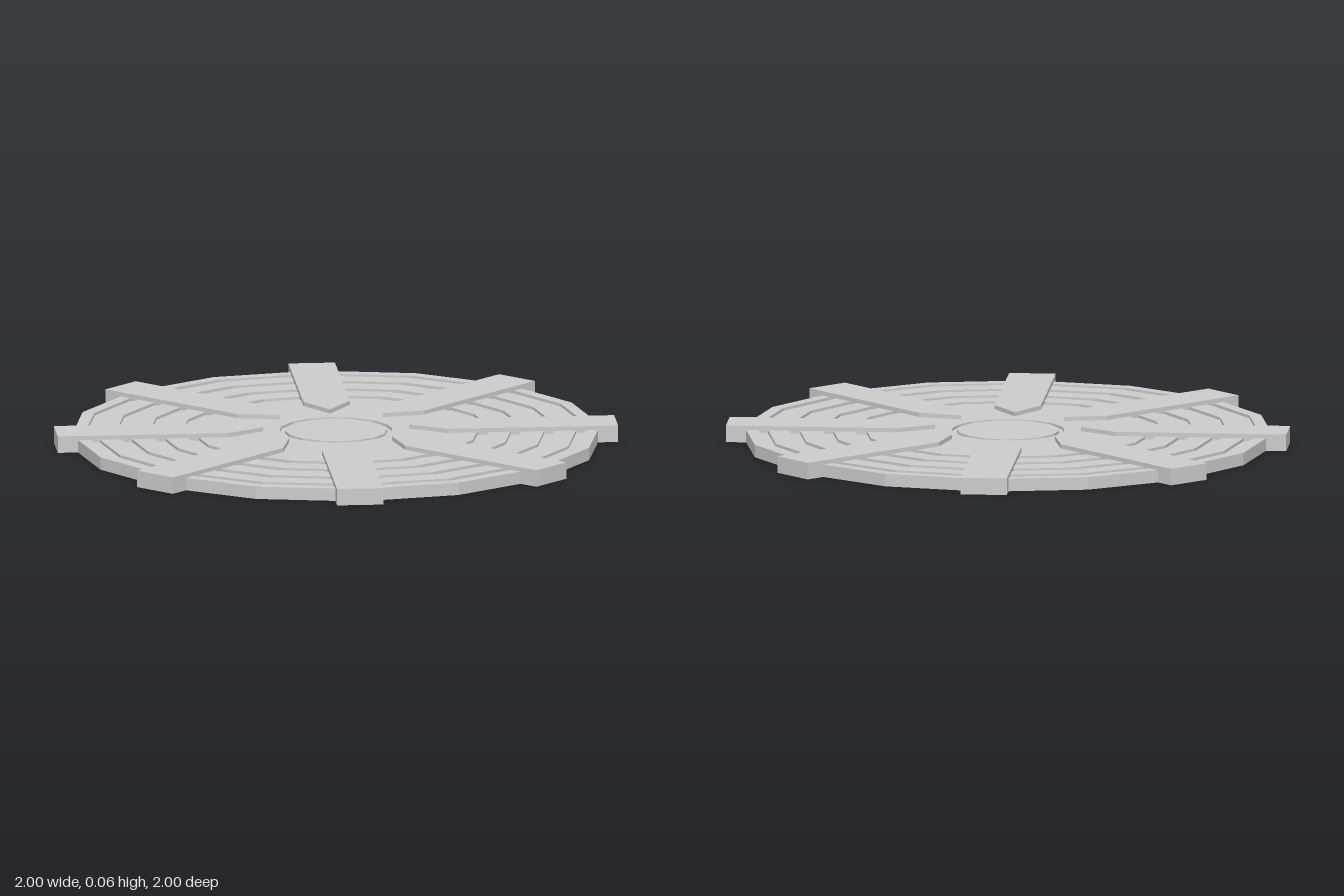
import * as THREE from 'three';

export function createModel() {
  const group = new THREE.Group();
  const material = new THREE.MeshStandardMaterial({ color: 0xcccccc, flatShading: true });
  const top = 0.045, grooveFloor = 0.035, radius = 0.944;

  // Sixteen-sided disc with concentric grooves: [outer, inner] radii
  const grooves = [[0.9, 0.866], [0.79, 0.752], [0.67, 0.632], [0.552, 0.512], [0.202, 0.182]];
  const profile = [[0, 0], [radius, 0], [radius, top]];
  for (const [outer, inner] of grooves) {
    profile.push([outer, top], [outer, grooveFloor], [inner, grooveFloor], [inner, top]);
  }
  profile.push([0, top]);
  const disc = new THREE.Mesh(
    new THREE.LatheGeometry(profile.map(([r, y]) => new THREE.Vector2(r, y)), 16),
    material
  );
  disc.name = 'groovedDisc';
  group.add(disc);

  // Eight radial bars, pointed towards the hub
  const halfWidth = 0.083;
  const outline = new THREE.Shape([
    [0.26, 0], [0.39, -halfWidth], [1, -halfWidth], [1, halfWidth], [0.39, halfWidth]
  ].map(([x, y]) => new THREE.Vector2(x, y)));
  const barGeometry = new THREE.ExtrudeGeometry(outline, { depth: 0.06, bevelEnabled: false });
  barGeometry.rotateX(-Math.PI / 2);
  for (let i = 0; i < 8; i++) {
    const bar = new THREE.Mesh(barGeometry, material);
    bar.name = `radialBar${i + 1}`;
    bar.rotation.y = i * Math.PI / 4;
    group.add(bar);
  }
  return group;
}
